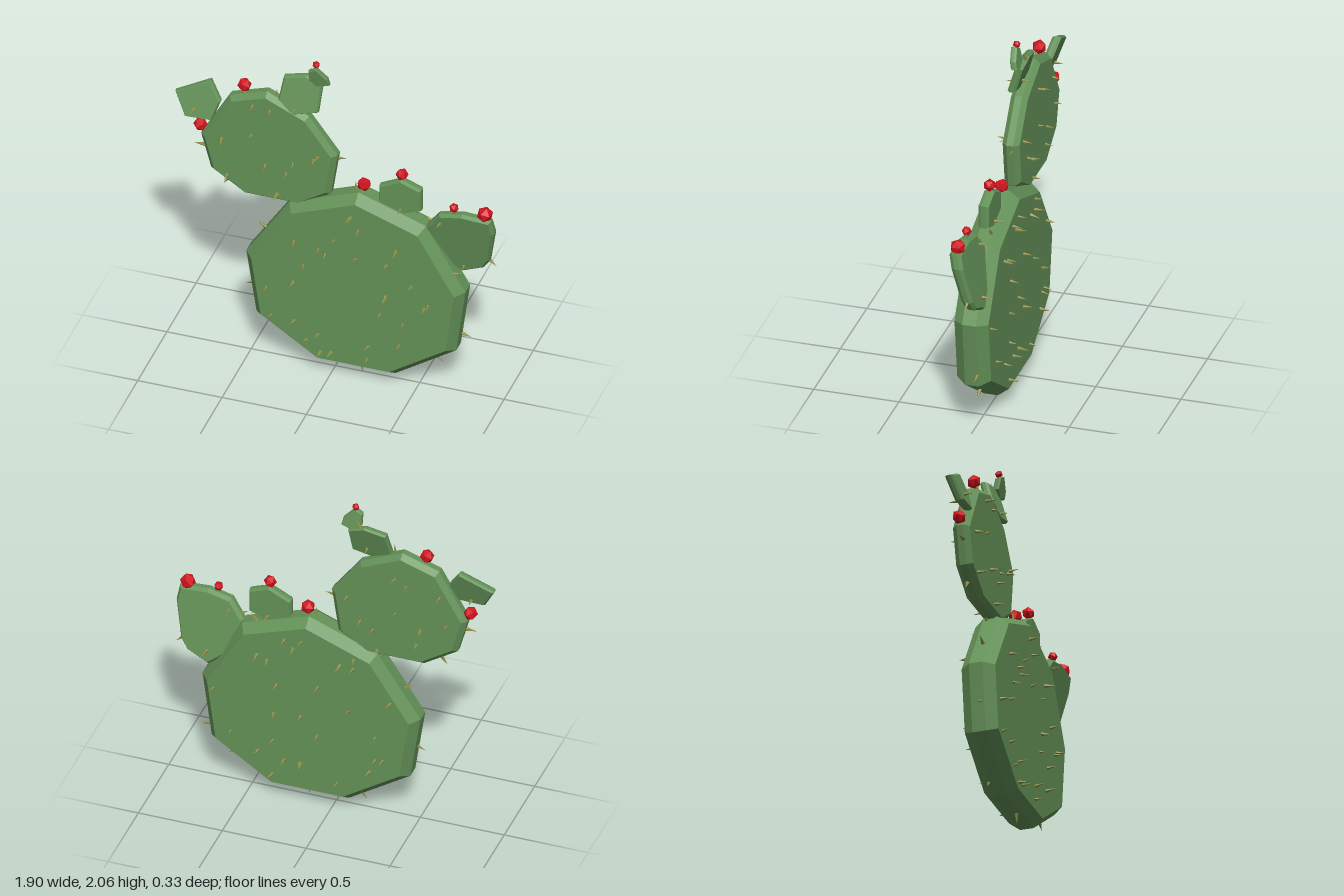
import * as THREE from 'three';

const green = new THREE.MeshStandardMaterial({ color: 0x649258, flatShading: true });
const red = new THREE.MeshStandardMaterial({ color: 0xd0141e, flatShading: true });
const olive = new THREE.MeshStandardMaterial({ color: 0x8f9048, flatShading: true });
const up = new THREE.Vector3(0, 1, 0);
const spineGeometry = new THREE.ConeGeometry(0.012, 0.065, 5).translate(0, 0.025, 0);

// Flat pad with bevelled rim: four rings (face, rim, rim, face), sheared in z by lean
function padGeometry(rim, centre, half, lean) {
  const n = rim.length, pos = [], idx = [];
  const add = (p, z) => pos.push(p.x, p.y, z + lean * (p.y - centre.y));
  const face = rim.map((p) => p.clone().lerp(centre, 0.075));
  add(centre, half);
  add(centre, -half);
  [[face, half], [rim, half * 0.4], [rim, -half * 0.4], [face, -half]]
    .forEach(([ring, z]) => ring.forEach((p) => add(p, z)));
  for (let i = 0; i < n; i++) {
    const j = (i + 1) % n;
    for (let r = 0; r < 3; r++) {
      const a = 2 + r * n, b = a + n;
      idx.push(a + i, b + i, b + j, a + i, b + j, a + j);
    }
    idx.push(0, 2 + i, 2 + j, 1, 2 + 3 * n + j, 2 + 3 * n + i);
  }
  const g = new THREE.BufferGeometry();
  g.setAttribute('position', new THREE.Float32BufferAttribute(pos, 3));
  g.setIndex(idx);
  const flat = g.toNonIndexed();
  flat.computeVertexNormals();
  return flat;
}

export function createModel() {
  const group = new THREE.Group();
  let seed = 7;
  const rand = () => (seed = (seed * 16807) % 2147483647) / 2147483647;

  // Cone standing on a pad, slightly tilted
  function addSpine(parent, p, z, dx, dy, dz) {
    const m = new THREE.Mesh(spineGeometry, olive);
    m.name = 'spine';
    m.position.set(p.x, p.y, z);
    const dir = new THREE.Vector3(dx + (rand() - 0.5) * 0.4, dy + (rand() - 0.5) * 0.4, dz);
    m.quaternion.setFromUnitVectors(up, dir.normalize());
    m.scale.setScalar(0.75 + rand() * 0.4);
    parent.add(m);
  }

  // Outline runs counter-clockwise as x, y pairs; spines are scattered by count
  function addPad(name, half, lean, faceSpines, rimSpines, outline) {
    const rim = outline.map(([x, y]) => new THREE.Vector2(x, y)), n = rim.length;
    const centre = rim.reduce((s, p) => s.add(p), new THREE.Vector2()).divideScalar(n);
    const part = new THREE.Group();
    part.name = name;
    const body = new THREE.Mesh(padGeometry(rim, centre, half, lean), green);
    body.name = name + 'Body';
    part.add(body);
    // Point on the rim, t in 0..1 around it
    const rimPoint = (t) => {
      const i = Math.floor(t * n) % n;
      return rim[i].clone().lerp(rim[(i + 1) % n], (t * n) % 1);
    };
    for (const side of [1, -1]) {
      for (let i = 0; i < faceSpines; i++) {
        const p = centre.clone().lerp(rimPoint((i * 0.618 + 0.1 * rand()) % 1), 0.88 * Math.sqrt(rand()));
        addSpine(part, p, side * half + lean * (p.y - centre.y), 0, 0, side);
      }
    }
    for (let i = 0; i < rimSpines; i++) {
      const p = rimPoint((i + 0.2 + 0.6 * rand()) / rimSpines);
      const out = p.clone().sub(centre).normalize();
      addSpine(part, p, lean * (p.y - centre.y) + (rand() - 0.5) * half * 0.8, out.x, out.y, 0);
    }
    group.add(part);
  }

  // Two large pads
  addPad('mainPad', 0.1, 0, 27, 10, [[-0.09, 0], [0.37, 0], [0.73, 0.24], [0.785, 0.65],
    [0.55, 1.05], [0.15, 1.19], [-0.26, 1.03], [-0.515, 0.64], [-0.455, 0.24]]);
  addPad('upperPad', 0.05, 0, 11, 7, [[-0.53, 1.02], [-0.19, 1.02], [-0.02, 1.13], [0.02, 1.4],
    [-0.15, 1.63], [-0.4, 1.745], [-0.62, 1.67], [-0.79, 1.37], [-0.73, 1.15]]);

  // Small leaning pads growing from them
  addPad('lowerSidePad', 0.035, 0.2, 2, 2, [[0.74, 0.74], [0.87, 0.8], [0.91, 0.86], [0.955, 1.09],
    [0.94, 1.18], [0.77, 1.19], [0.63, 1.16], [0.55, 1.05], [0.56, 0.88]]);
  addPad('lowerBudPad', 0.03, 0, 1, 0, [[0.38, 1.08], [0.515, 1.13], [0.515, 1.27],
    [0.395, 1.315], [0.265, 1.25], [0.265, 1.13]]);
  addPad('upperSidePad', 0.026, -0.3, 1, 1, [[-0.88, 1.48], [-0.72, 1.485], [-0.68, 1.6],
    [-0.75, 1.71], [-0.95, 1.61]]);
  addPad('upperBudPad', 0.024, -0.3, 1, 1, [[-0.24, 1.64], [-0.09, 1.68], [-0.08, 1.84],
    [-0.18, 1.88], [-0.31, 1.85], [-0.33, 1.71]]);
  addPad('tipPad', 0.018, 0.2, 0, 0, [[-0.11, 1.83], [-0.035, 1.855], [-0.045, 1.9],
    [-0.11, 1.965], [-0.155, 1.94], [-0.155, 1.87]]);

  // Fruits: x, y, z, radius
  [[-0.54, 1.745, 0, 0.042], [-0.8, 1.415, 0, 0.042], [-0.115, 1.98, 0, 0.022],
    [0.17, 1.225, 0, 0.042], [0.395, 1.345, 0, 0.037], [0.715, 1.212, 0.035, 0.028],
    [0.897, 1.205, 0.03, 0.047]].forEach(([x, y, z, r], i) => {
    const m = new THREE.Mesh(new THREE.IcosahedronGeometry(r, 0), red);
    m.name = 'fruit';
    m.position.set(x, y, z);
    m.rotation.set(0.1 * i, 0.7 * i, 0);
    group.add(m);
  });

  // Short stalk under the small side fruit
  const stalk = new THREE.Mesh(new THREE.CylinderGeometry(0.012, 0.016, 0.05, 6), green);
  stalk.name = 'fruitStalk';
  stalk.position.set(0.722, 1.18, 0.035);
  group.add(stalk);
  return group;
}
